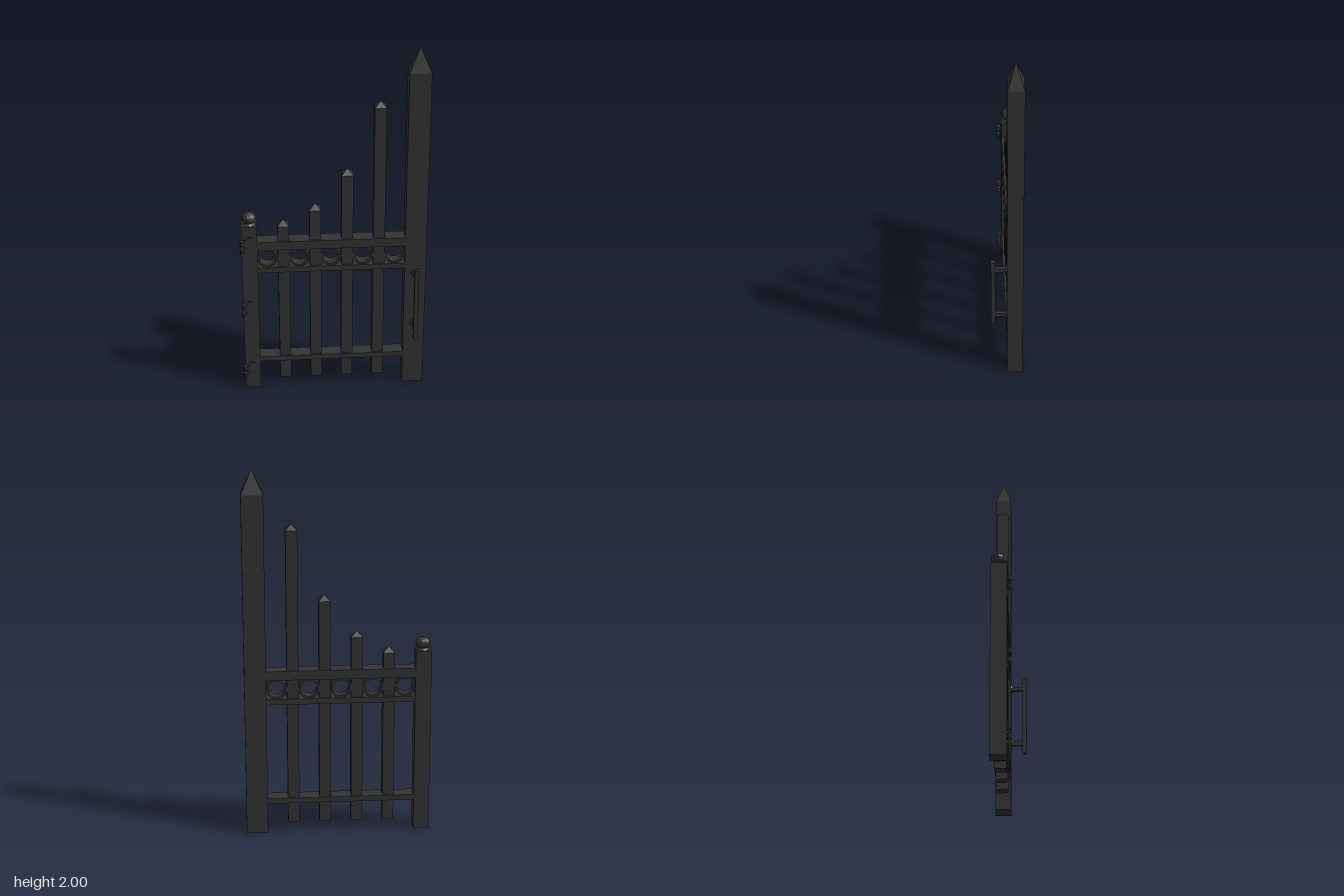
import * as THREE from 'three';

const mat = new THREE.MeshStandardMaterial({ color: 0x333333, flatShading: true });
const ZC = -0.042; // middle plane of the gate

export function createModel() {
  const gate = new THREE.Group();
  gate.name = 'gate';

  const add = (name, geo, x, y, z, parent = gate) => {
    const mesh = new THREE.Mesh(geo, mat);
    mesh.name = name;
    mesh.position.set(x, y, z);
    parent.add(mesh);
    return mesh;
  };
  // box given by its limits on each axis
  const box = (name, x0, x1, y0, y1, z0, z1, parent) =>
    add(name, new THREE.BoxGeometry(x1 - x0, y1 - y0, z1 - z0),
      (x0 + x1) / 2, (y0 + y1) / 2, (z0 + z1) / 2, parent);
  // four-sided point on top of a post
  const point = (name, x, y, w, h, d, parent) => {
    const geo = new THREE.ConeGeometry(Math.SQRT1_2, 1, 4, 1).rotateY(Math.PI / 4);
    geo.scale(w, h, d);
    return add(name, geo, x, y + h / 2, ZC, parent);
  };

  // hinge post with ball finial
  box('hingePost', -0.496, -0.411, 0, 1.02, -0.084, 0);
  add('finialNeck', new THREE.CylinderGeometry(0.022, 0.038, 0.014, 10), -0.453, 1.027, ZC);
  add('finialBall', new THREE.SphereGeometry(0.041, 10, 8).scale(1, 0.8, 1), -0.453, 1.056, ZC);

  // tall latch post
  box('latchPost', 0.386, 0.502, 0, 1.87, -0.084, 0);
  point('latchPostPoint', 0.444, 1.87, 0.116, 0.13, 0.084);

  // rising pickets
  [1.01, 1.1, 1.3, 1.68].forEach((top, i) => {
    const x = -0.27 + i * 0.1715;
    const picket = new THREE.Group();
    picket.name = 'picket';
    gate.add(picket);
    box('picketShaft', x - 0.031, x + 0.031, 0.055, top, ZC - 0.031, ZC + 0.031, picket);
    point('picketPoint', x, top, 0.062, 0.031, 0.062, picket);
  });

  // cross rails
  [[0.875, 0.925], [0.738, 0.769], [0.17, 0.2]].forEach(([y0, y1]) =>
    box('rail', -0.412, 0.388, y0, y1, -0.083, -0.001));

  // ring band between the two upper rails
  const ring = new THREE.Shape().absarc(0, 0, 0.055, 0, Math.PI * 2);
  ring.holes.push(new THREE.Path().absarc(0, 0, 0.044, 0, Math.PI * 2, true));
  const ringGeo = new THREE.ExtrudeGeometry(ring, { depth: 0.062, bevelEnabled: false, curveSegments: 16 });
  ringGeo.translate(0, 0, -0.031);
  for (let i = 0; i < 5; i++) add('ring', ringGeo, -0.357 + i * 0.1717, 0.822, ZC);

  // hinges: a plate and two knuckles each
  [0.117, 0.513, 0.909].forEach((y) => {
    const hinge = new THREE.Group();
    hinge.name = 'hinge';
    gate.add(hinge);
    box('hingePlate', -0.47, -0.443, y - 0.05, y + 0.05, -0.002, 0.007, hinge);
    for (const s of [-1, 1]) {
      add('hingeKnuckle', new THREE.CylinderGeometry(0.012, 0.012, 0.026, 10), -0.494, y + s * 0.023, 0.013, hinge);
      box('hingeStrap', -0.494, -0.465, y + s * 0.023 - 0.01, y + s * 0.023 + 0.01, -0.002, 0.005, hinge);
    }
  });

  // pull handle on the latch post
  const handle = new THREE.Group();
  handle.name = 'handle';
  gate.add(handle);
  box('handleBar', 0.433, 0.456, 0.33, 0.762, 0.061, 0.084, handle);
  for (const y of [0.387, 0.705]) {
    box('handleArm', 0.434, 0.455, y - 0.011, y + 0.011, 0, 0.063, handle);
    add('handleRosette', new THREE.CylinderGeometry(0.02, 0.024, 0.008, 12).rotateX(Math.PI / 2), 0.4445, y, 0.003, handle);
  }
  return gate;
}
